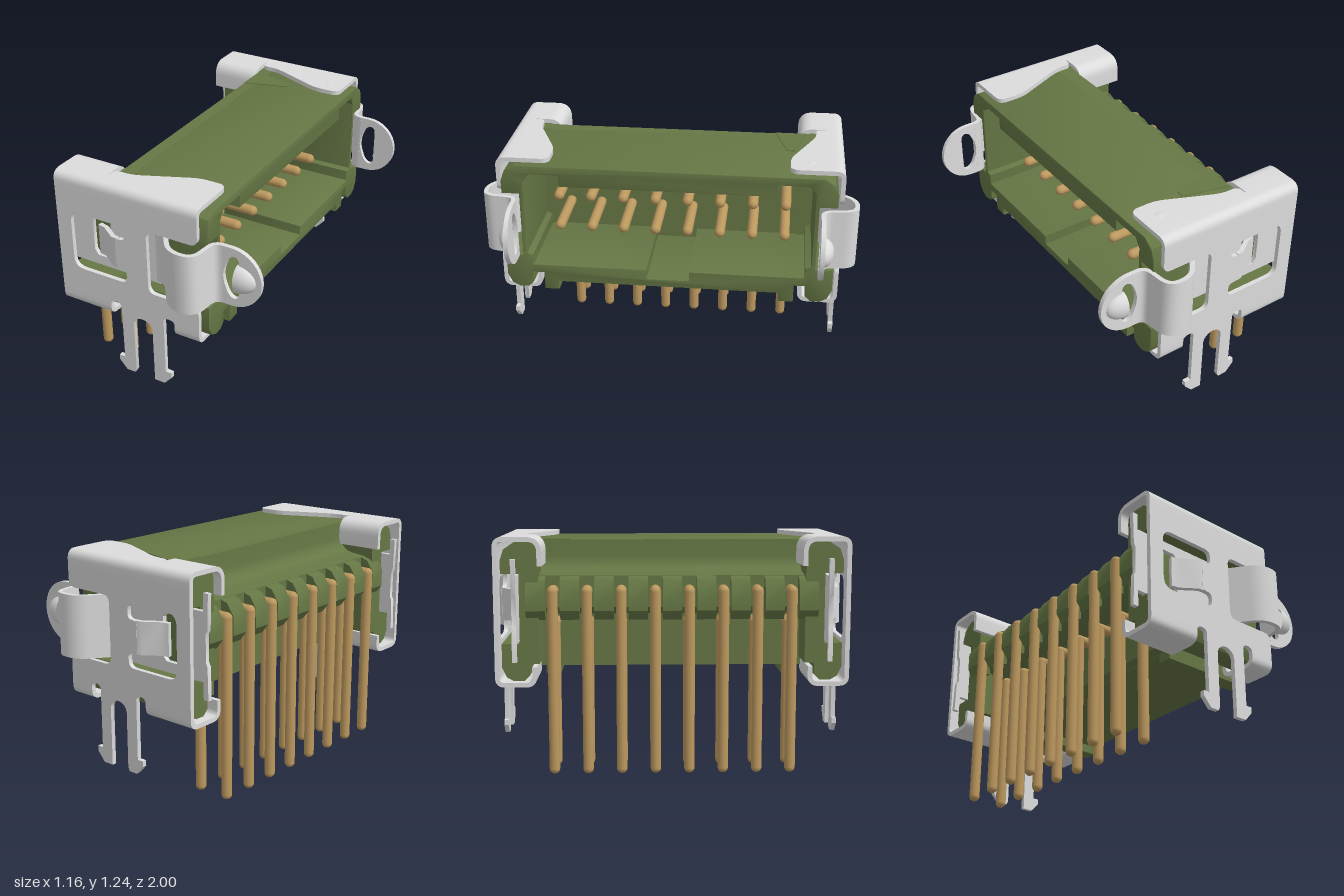
import * as THREE from 'three';
import { toCreasedNormals } from 'three/addons/utils/BufferGeometryUtils.js';

const green = new THREE.MeshStandardMaterial({ color: 0x667745 });
green.name = 'green plastic';
const metal = new THREE.MeshStandardMaterial({ color: 0xdcdcdc, side: THREE.DoubleSide });
metal.name = 'plated steel';
const gold = new THREE.MeshStandardMaterial({ color: 0xbd995f });
gold.name = 'brass';

const T = 0.024; // sheet thickness
const V = (a) => a.map(([x, y]) => new THREE.Vector2(x, y));
const poly = (a) => new THREE.Shape(V(a));

function add(parent, name, geo, mat, x = 0, y = 0, z = 0) {
  const m = new THREE.Mesh(geo, mat);
  m.name = name;
  m.position.set(x, y, z);
  parent.add(m);
  return m;
}
function extrude(shape, depth, bevel = 0) {
  const g = new THREE.ExtrudeGeometry(shape, {
    depth: depth - 2 * bevel, curveSegments: 10, bevelEnabled: bevel > 0,
    bevelSize: bevel, bevelThickness: bevel, bevelOffset: -bevel, bevelSegments: 2,
  });
  g.translate(0, 0, bevel);
  return toCreasedNormals(g, 0.6);
}
// profile given as (-z, y), swept along x from x0 to x1
const alongX = (shape, x0, x1, bevel) => extrude(shape, x1 - x0, bevel).rotateY(Math.PI / 2).translate(x0, 0, 0);
// plan given as (x, -z), swept along y from y0 to y1
const alongY = (shape, y0, y1) => extrude(shape, y1 - y0).rotateX(-Math.PI / 2).translate(0, y0, 0);

// closed outline of a bent sheet from its centre line
function ribbon(pts, t = T) {
  const a = [], b = [];
  pts.forEach((p, i) => {
    const d = pts[Math.min(i + 1, pts.length - 1)].clone().sub(pts[Math.max(i - 1, 0)]).normalize();
    const n = new THREE.Vector2(-d.y, d.x).multiplyScalar(t / 2);
    a.push(p.clone().add(n));
    b.unshift(p.clone().sub(n));
  });
  return new THREE.Shape([...a, ...b]);
}
// path with rounded corners of radius r
function rounded(list, r) {
  const p = V(list), out = [p[0]];
  for (let i = 1; i < p.length - 1; i++) {
    const inD = p[i - 1].clone().sub(p[i]), outD = p[i + 1].clone().sub(p[i]);
    const k = Math.min(r, inD.length() * 0.48, outD.length() * 0.48);
    const s = p[i].clone().add(inD.setLength(k)), e = p[i].clone().add(outD.setLength(k));
    out.push(...new THREE.QuadraticBezierCurve(s, p[i], e).getPoints(8));
  }
  out.push(p[p.length - 1]);
  return out;
}

// outer end of the housing, from the bottom up, as [z, y]
const endProfile = [[0.74, 0.58], [0.74, 0.52], [0.77, 0.49], [0.82, 0.488], [0.86, 0.51], [0.884, 0.56], [0.884, 0.685],
  [0.79, 0.685], [0.79, 1.05], [0.884, 1.05], [0.884, 1.12], [0.865, 1.175], [0.81, 1.212]];

function buildHousing(g) {
  // open shell around the mating cavity
  const half = [[0.6, 0.53], [0.6, 0.48], [0.68, 0.48], [0.68, 0.58], ...endProfile];
  const outline = poly([...half, ...half.map(([z, y]) => [-z, y]).reverse()]);
  const cav = [[0.115, 0.575], [0.115, 0.63], [0.735, 0.63], [0.735, 0.69], [0.766, 0.7],
    [0.766, 1.12], [0.735, 1.165], [0.575, 1.165], [0.575, 1.1]];
  outline.holes.push(new THREE.Path(V([...cav, ...cav.map(([z, y]) => [-z, y]).reverse()])));
  add(g, 'housingShell', alongX(outline, -0.22, 0.32, 0.006), green);

  // rear wall with the curved step down to the pin ledge
  const rear = new THREE.Shape();
  rear.moveTo(-0.2, 0.535);
  rear.lineTo(-0.2, 1.212);
  rear.lineTo(-0.28, 1.212);
  rear.lineTo(-0.285, 1.13);
  rear.quadraticCurveTo(-0.29, 1.055, -0.36, 1.045);
  rear.lineTo(-0.45, 1.035);
  rear.lineTo(-0.45, 0.87);
  rear.lineTo(-0.39, 0.83);
  rear.lineTo(-0.28, 0.83);
  rear.lineTo(-0.28, 0.535);
  add(g, 'rearWall', extrude(rear, 1.56), green, 0, 0, -0.78);

  // end blocks under the metal covers
  for (const s of [-1, 1]) {
    const block = poly([[0.69, 0.58], ...endProfile, [0.69, 1.212]].map(([z, y]) => [s * z, y]));
    add(g, 'endBlock', alongX(block, -0.5, -0.19), green);
  }

  // comb teeth between the pins
  const tooth = poly([[-0.44, 1.036], [-0.49, 1.02], [-0.53, 0.96], [-0.53, 0.86], [-0.49, 0.81], [-0.44, 0.82]]);
  for (let i = -4; i <= 4; i++) add(g, 'combTooth', extrude(tooth, 0.1), green, 0, 0, i * 0.1765 - 0.05);

  // orientation mark on the roof
  add(g, 'cornerMark', alongY(poly([[-0.28, 0.54], [-0.03, 0.61], [-0.03, 0.65], [-0.28, 0.71]]), 1.21, 1.216), green);
}

function buildPins(g) {
  const R = 0.028;
  for (const [x, y] of [[-0.52, 0.96], [-0.345, 0.78]]) {
    const len = 0.15 - x + R, tall = y + R;
    const leg = new THREE.CapsuleGeometry(R, tall - 2 * R, 6, 14);
    const contact = new THREE.CapsuleGeometry(R, len - 2 * R, 6, 14).rotateZ(Math.PI / 2);
    for (let i = 0; i < 8; i++) {
      const z = (i - 3.5) * 0.1765;
      add(g, 'pinLeg', leg, gold, x, tall / 2, z);
      add(g, 'pinContact', contact, gold, x - R + len / 2, y, z);
    }
  }
}

// metal end cover, made for the +z end
function buildCover() {
  const g = new THREE.Group();
  g.name = 'endCover';

  // side plate with front slot, notches and two barbed board legs
  const s = new THREE.Shape();
  s.moveTo(-0.55, 0.54);
  s.lineTo(-0.25, 0.54);
  s.bezierCurveTo(-0.25, 0.57, -0.185, 0.57, -0.185, 0.54);
  for (const [x, y] of [[-0.185, 0.22], [-0.22, 0.22], [-0.22, 0.19], [-0.175, 0.14], [-0.125, 0.14],
    [-0.115, 0.16], [-0.115, 0.46]]) s.lineTo(x, y);
  s.bezierCurveTo(-0.1, 0.52, -0.015, 0.52, 0, 0.46);
  for (const [x, y] of [[0, 0.14], [0.06, 0.14], [0.105, 0.19], [0.105, 0.22], [0.07, 0.22], [0.07, 0.54]]) s.lineTo(x, y);
  s.bezierCurveTo(0.07, 0.57, 0.135, 0.57, 0.135, 0.54);
  s.lineTo(0.28, 0.54);
  s.lineTo(0.28, 0.64);
  s.quadraticCurveTo(0.28, 0.685, 0.235, 0.685);
  s.lineTo(0.03, 0.685);
  s.quadraticCurveTo(-0.012, 0.685, -0.012, 0.73);
  s.lineTo(-0.012, 1.0);
  s.quadraticCurveTo(-0.012, 1.045, 0.03, 1.045);
  s.lineTo(0.235, 1.045);
  s.quadraticCurveTo(0.28, 1.045, 0.28, 1.09);
  s.lineTo(0.28, 1.15);
  s.lineTo(-0.55, 1.15);
  // U-shaped window around the tongue
  const win = rounded([[-0.3, 0.7], [-0.14, 0.7], [-0.14, 0.78], [-0.2, 0.78], [-0.2, 0.95], [-0.14, 0.95],
    [-0.14, 1.03], [-0.465, 1.03], [-0.465, 0.7], [-0.3, 0.7]], 0.06);
  win.pop();
  s.holes.push(new THREE.Path(win));
  add(g, 'coverSide', extrude(s, T), metal, 0, 0, 0.892);

  // tongue bent inward
  const tongue = V([[-0.19, -0.904], [-0.22, -0.9], [-0.3, -0.845], [-0.345, -0.835]]);
  add(g, 'tongue', alongY(ribbon(tongue), 0.78, 0.95), metal);

  // rounded upper edge, roof flange and rear curl
  const arc = rounded([[-0.904, 1.15], [-0.904, 1.228], [-0.82, 1.228]], 0.08);
  add(g, 'coverTopBend', alongX(ribbon(arc), -0.55, 0.28), metal);
  const roof = new THREE.Shape(rounded([[-0.28, -0.84], [-0.28, -0.765], [-0.18, -0.765], [0.13, -0.63],
    [0.28, -0.63], [0.28, -0.84]], 0.05));
  add(g, 'roofFlange', alongY(roof, 1.216, 1.24), metal);
  const curl = rounded([[-0.82, 1.228], [-0.68, 1.228], [-0.68, 1.09]], 0.1);
  add(g, 'rearCurl', alongX(ribbon(curl), -0.55, -0.285), metal);

  // lower curls each side of the legs
  const low = rounded([[-0.904, 0.56], [-0.904, 0.478], [-0.712, 0.478], [-0.712, 0.57]], 0.08);
  add(g, 'lowerCurlRear', alongX(ribbon(low), -0.55, -0.25), metal);
  add(g, 'lowerCurlFront', alongX(ribbon(low), 0.135, 0.28), metal);

  // inner plate with its opening
  const inner = poly([[-0.58, 0.6], [-0.55, 0.6], [-0.55, 0.69], [0.0, 0.69], [0.0, 1.04], [-0.55, 1.04], [-0.55, 1.13],
    [-0.58, 1.13], [-0.575, 0.95], [-0.565, 0.93], [-0.565, 0.79], [-0.575, 0.77]]);
  inner.holes.push(new THREE.Path(V([[-0.38, 0.745], [-0.31, 0.745], [-0.29, 0.765], [-0.29, 0.97], [-0.31, 0.99],
    [-0.38, 0.99], [-0.4, 0.96], [-0.4, 0.775]])));
  add(g, 'innerPlate', extrude(inner, T), metal, 0, 0, 0.799);

  // spring arm bowing outward through the slot
  const arm = rounded([[-0.02, -0.811], [0.035, -0.82], [0.16, -0.988], [0.295, -0.988], [0.315, -0.811], [0.42, -0.811]], 0.07);
  arm.pop();
  add(g, 'springArm', alongY(ribbon(arm), 0.7, 1.03), metal);

  // eye plate with rounded end
  const eye = new THREE.Shape();
  eye.moveTo(0.365, 0.7);
  eye.lineTo(0.412, 0.7);
  eye.absarc(0.412, 0.865, 0.165, -Math.PI / 2, Math.PI / 2, false);
  eye.lineTo(0.365, 1.03);
  const slot = new THREE.Path();
  slot.moveTo(0.455, 0.78);
  slot.bezierCurveTo(0.455, 0.73, 0.4, 0.73, 0.38, 0.8);
  slot.bezierCurveTo(0.362, 0.84, 0.362, 0.89, 0.38, 0.93);
  slot.bezierCurveTo(0.4, 1.0, 0.455, 1.0, 0.455, 0.95);
  eye.holes.push(slot);
  add(g, 'eyePlate', extrude(eye, T), metal, 0, 0, 0.799);

  // half-dome detent beside the eye, open towards the slot
  const dome = new THREE.SphereGeometry(1, 12, 16, Math.PI / 2, Math.PI / 2).scale(0.105, 0.078, 0.057);
  add(g, 'detent', dome, metal, 0.443, 0.865, 0.815);
  return g;
}

export function createModel() {
  const model = new THREE.Group();
  model.name = 'boardConnector';
  buildHousing(model);
  buildPins(model);
  const left = buildCover();
  const right = buildCover();
  right.scale.z = -1;
  model.add(left, right);
  // small dimple on one roof flange
  add(model, 'dimple', new THREE.SphereGeometry(0.024, 14, 10).scale(1, 0.2, 1), metal, 0.18, 1.238, -0.735);
  return model;
}
